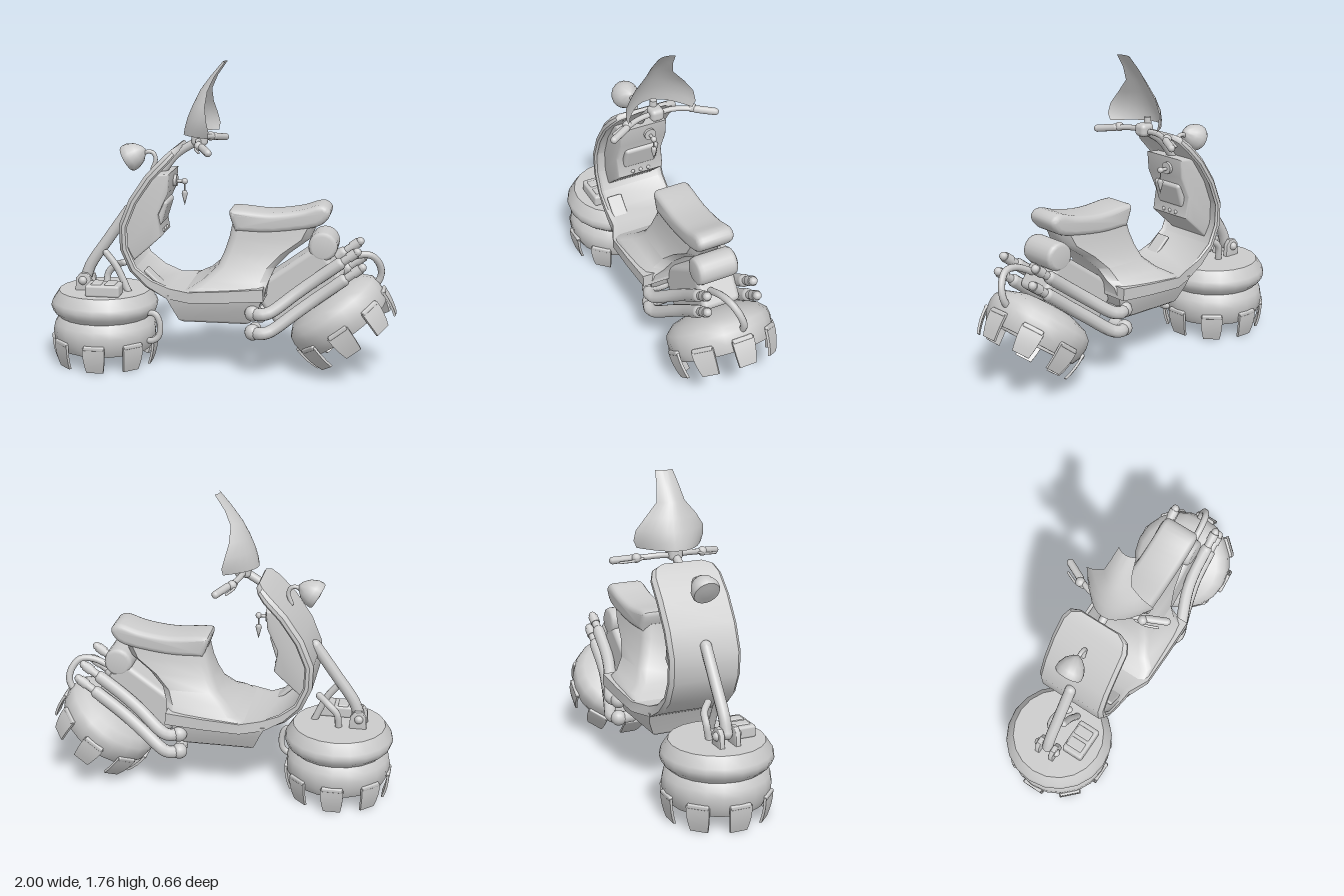
import * as THREE from 'three';
import { toCreasedNormals, mergeGeometries } from 'three/addons/utils/BufferGeometryUtils.js';
import { RoundedBoxGeometry } from 'three/addons/geometries/RoundedBoxGeometry.js';

const grey = new THREE.MeshStandardMaterial({ color: 0xcccccc });
const greyDouble = new THREE.MeshStandardMaterial({ color: 0xcccccc, side: THREE.DoubleSide });
const V = (x, y, z) => new THREE.Vector3(x, y, z);

function add(parent, name, geometry, x = 0, y = 0, z = 0, material = grey) {
  const mesh = new THREE.Mesh(geometry, material);
  mesh.name = name;
  mesh.position.set(x, y, z);
  parent.add(mesh);
  return mesh;
}

// Skin over cross-sections; closed loops get end caps and outward faces
function loft(rows, closed = true, crease = 0.7) {
  const n = rows[0].length, pts = rows.flat(), idx = [];
  const span = closed ? n : n - 1;
  for (let i = 0; i < rows.length - 1; i++) for (let j = 0; j < span; j++) {
    const a = i * n + j, b = i * n + (j + 1) % n;
    idx.push(a, b, b + n, a, b + n, a + n);
  }
  if (closed) {
    const last = (rows.length - 1) * n;
    // Caps joined as strips across the loop
    for (let j = 0; j < n / 2 - 1; j++) {
      const a = j, b = j + 1, c = n - 2 - j, d = n - 1 - j;
      idx.push(a, c, b, a, d, c, last + a, last + b, last + c, last + a, last + c, last + d);
    }
    let volume = 0;
    for (let k = 0; k < idx.length; k += 3) {
      volume += pts[idx[k]].dot(V(0, 0, 0).crossVectors(pts[idx[k + 1]], pts[idx[k + 2]]));
    }
    if (volume < 0) idx.reverse();
  }
  const geometry = new THREE.BufferGeometry().setFromPoints(pts);
  geometry.setIndex(idx);
  return toCreasedNormals(geometry, crease);
}

// Round tube with rounded ends
function tube(parent, name, pts, r, segments = 24) {
  const list = pts.map(p => V(...p));
  const curve = new THREE.CatmullRomCurve3(list, false, 'centripetal');
  const ends = [list[0], list.at(-1)].map(p => new THREE.SphereGeometry(r, 10, 8).translate(p.x, p.y, p.z));
  return add(parent, name, mergeGeometries([new THREE.TubeGeometry(curve, segments, r, 10), ...ends]));
}

function sideExtrude(pts, half, bevel, curved = false) {
  const shape = new THREE.Shape();
  if (curved) shape.setFromPoints(new THREE.SplineCurve([...pts, pts[0]].map(p => new THREE.Vector2(...p))).getPoints(40).slice(0, -1));
  else shape.setFromPoints(pts.map(p => new THREE.Vector2(...p)));
  const depth = 2 * (half - bevel);
  const g = new THREE.ExtrudeGeometry(shape, { depth, bevelSize: bevel, bevelOffset: -bevel, bevelThickness: bevel, bevelSegments: 3 });
  return toCreasedNormals(g.translate(0, 0, -depth / 2), 0.7);
}

// Hover pod: hollow drum with eight hanging pads
function hoverPod(name, upper) {
  const pod = new THREE.Group();
  pod.name = name;
  const profile = [[0, 0.07], [0.13, 0.06], [0.22, 0.0], [0.245, -0.09], [0.268, -0.09], [0.295, -0.04],
    [0.3, 0.02], [0.292, 0.06], ...upper].map(p => new THREE.Vector2(...p));
  add(pod, name + 'Drum', toCreasedNormals(new THREE.LatheGeometry(profile, 20), 0.75), 0, 0, 0, greyDouble);
  for (let i = 0; i < 8; i++) {
    const arm = new THREE.Group();
    arm.name = 'padMount';
    arm.rotation.y = i * Math.PI / 4;
    const pad = new THREE.BoxGeometry(0.13, 0.15, 0.014, 1, 4, 1);
    const p = pad.attributes.position;
    for (let k = 0; k < p.count; k++) {
      const t = 0.5 - p.getY(k) / 0.15;
      p.setX(k, p.getX(k) * (1 - 0.25 * t * t));
      p.setZ(k, p.getZ(k) - 0.028 * t * t);
    }
    add(arm, 'hoverPad', toCreasedNormals(pad, 0.5), 0, -0.105, 0.296);
    add(arm, 'padClip', new RoundedBoxGeometry(0.12, 0.025, 0.035, 2, 0.008), 0, -0.03, 0.289);
    pod.add(arm);
  }
  return pod;
}

export function createModel() {
  const model = new THREE.Group();
  model.name = 'hoverScooter';
  const g = new THREE.Group();
  g.name = 'scooter';
  g.position.z = 0.015;
  model.add(g);

  // Front and rear hover pods
  const front = hoverPod('frontPod', [[0.265, 0.098], [0.3, 0.13], [0.312, 0.165], [0.305, 0.19], [0.265, 0.25], [0, 0.25]]);
  front.position.set(-0.69, 0.18, -0.003);
  const rear = hoverPod('rearPod', [[0.25, 0.1], [0.15, 0.135], [0, 0.15]]);
  rear.position.set(0.67, 0.33, -0.003);
  rear.rotation.z = 0.65;
  g.add(front, rear);

  // Leg shield sweeping into a flat foot board: x, y, half width, thickness, rim
  const spine = [[-0.235, 1.295, 0.13, 0.03, 1], [-0.26, 1.28, 0.185, 0.04, 1], [-0.305, 1.24, 0.208, 0.05, 1], [-0.4, 1.14, 0.212, 0.05, 1],
    [-0.495, 1.0, 0.212, 0.05, 1], [-0.555, 0.85, 0.212, 0.05, 1], [-0.55, 0.71, 0.212, 0.05, 1], [-0.495, 0.585, 0.212, 0.05, 1],
    [-0.4, 0.495, 0.212, 0.06, 0.6], [-0.28, 0.44, 0.215, 0.06, 0], [-0.15, 0.435, 0.27, 0.06, 0], [0.06, 0.445, 0.275, 0.065, 0], [0.275, 0.46, 0.275, 0.07, 0]];
  const ring = [[-1, 0.8], [-1, 0.4], [-0.9, 0], [0.9, 0], [1, 0.4], [1, 0.8], [0.95, 1], [0.85, 0.7], [-0.85, 0.7], [-0.95, 1]];
  add(g, 'legShieldAndFloor', loft(spine.map(([x, y, w, t, rim], i) => {
    const a = spine[Math.max(i - 1, 0)], b = spine[Math.min(i + 1, spine.length - 1)];
    const d = Math.hypot(b[0] - a[0], b[1] - a[1]);
    const nx = -(b[1] - a[1]) / d, ny = (b[0] - a[0]) / d;
    return ring.map(([u, v]) => {
      const lift = t * (v > 0.5 ? 1 + (v - 1) * rim : v * rim);
      return V(x + nx * lift, y + ny * lift, u * w);
    });
  })));

  // Inner storage panel with lid, buttons and foot pad
  add(g, 'innerPanel', sideExtrude([[-0.38, 1.13], [-0.275, 1.14], [-0.285, 1.03], [-0.345, 0.9], [-0.325, 0.78],
    [-0.39, 0.72], [-0.48, 0.64], [-0.53, 0.72], [-0.53, 0.85], [-0.47, 1.0]], 0.145, 0.012));
  const lid = add(g, 'storageLid', new RoundedBoxGeometry(0.05, 0.15, 0.21, 3, 0.02), -0.335, 0.91, 0);
  lid.rotation.z = -0.3;
  for (let i = 0; i < 3; i++) add(g, 'panelButton', new THREE.SphereGeometry(0.012, 10, 8), -0.33, 0.8, -0.05 + i * 0.05);
  const pedal = add(g, 'footPad', new RoundedBoxGeometry(0.17, 0.02, 0.09, 2, 0.008), -0.35, 0.535, 0.14);
  pedal.rotation.z = -0.75;

  // Belly under the floor
  add(g, 'belly', loft([[0.46, -0.29, 0.26, 0.22], [0.4, -0.26, 0.24, 0.21], [0.31, -0.22, 0.19, 0.17], [0.295, -0.2, 0.16, 0.15]].map(
    ([y, a, b, w]) => [V(a, y, -w), V(b, y, -w), V(b, y, w), V(a, y, w)]), true, 0.3));

  // Seat pedestal flaring down into the floor: y, front x, rear x, half width
  add(g, 'seatPedestal', loft([[0.48, -0.2, 0.275, 0.265], [0.52, -0.13, 0.28, 0.25], [0.55, -0.08, 0.29, 0.2], [0.62, -0.005, 0.32, 0.155],
    [0.7, 0.03, 0.4, 0.125], [0.78, 0.055, 0.51, 0.105], [0.86, 0.07, 0.55, 0.095]].map(([y, a, b, w]) => {
    const c = 0.045;
    return [V(a, y, w - c), V(a, y, c - w), V(a + c * 0.4, y, c * 0.3 - w), V(a + c, y, -w), V(b - c, y, -w), V(b, y, c - w),
      V(b, y, w - c), V(b - c, y, w), V(a + c, y, w), V(a + c * 0.4, y, w - c * 0.3)];
  }), true, 0.8));

  // Seat cushion
  add(g, 'seat', sideExtrude([[0.09, 0.815], [0.055, 0.92], [0.1, 0.938], [0.28, 0.925], [0.45, 0.945], [0.57, 0.98],
    [0.622, 0.95], [0.61, 0.9], [0.55, 0.855], [0.4, 0.825], [0.25, 0.81]], 0.11, 0.03, true));

  // Rear tank and motor block
  const tankProfile = [[0, -0.12], [0.06, -0.12], [0.077, -0.11], [0.082, -0.09], [0.082, 0.09], [0.077, 0.11], [0.06, 0.12], [0, 0.12]];
  const tank = add(g, 'rearTank', new THREE.LatheGeometry(tankProfile.map(p => new THREE.Vector2(...p)), 20), 0.585, 0.745, 0);
  tank.rotation.x = Math.PI / 2;
  const motor = add(g, 'motorBlock', new RoundedBoxGeometry(0.47, 0.25, 0.23, 3, 0.03), 0.445, 0.52, 0);
  motor.rotation.z = 0.62;

  // Paired exhaust pipes on both sides, with collars and tips
  for (const s of [-1, 1]) {
    [[0.375, 0.77, 0.725, 0.14], [0.265, 0.8, 0.64, 0.152]].forEach(([y, ex, ey, ez]) => {
      const along = (t, z) => [0.32 + (ex - 0.32) * t, y + 0.02 + (ey - y - 0.02) * t, z * s];
      tube(g, 'exhaustPipe', [[0.21, y, 0.12 * s], [0.21, y, 0.195 * s], [0.25, y, 0.23 * s], [0.285, y + 0.005, 0.228 * s],
        along(0, 0.215), along(0.28, ez + 0.025), along(0.5, ez + 0.005), along(0.8, ez)], 0.036, 40);
      tube(g, 'exhaustTip', [along(0.76, ez), along(1.02, ez)], 0.024, 2);
      const collar = add(g, 'exhaustCollar', new THREE.CylinderGeometry(0.029, 0.029, 0.05, 14), ...along(0.96, ez));
      collar.rotation.z = 0.63 - Math.PI / 2;
      add(g, 'exhaustElbow', new THREE.SphereGeometry(0.046, 14, 10), 0.207, y, 0.205 * s);
    });
  }
  tube(g, 'rearHose', [[0.62, 0.62, 0.05], [0.77, 0.69, 0.045], [0.85, 0.69, 0.03], [0.9, 0.63, 0], [0.905, 0.56, -0.02], [0.86, 0.48, -0.02]], 0.02);
  tube(g, 'frontHose', [[-0.42, 0.32, 0.09], [-0.37, 0.315, 0.1], [-0.345, 0.265, 0.1], [-0.35, 0.19, 0.1], [-0.38, 0.16, 0.1], [-0.43, 0.155, 0.09]], 0.018);

  // Fork, brackets and braces above the front pod
  tube(g, 'fork', [[-0.8, 0.49, 0], [-0.77, 0.57, 0], [-0.66, 0.73, 0], [-0.54, 0.9, 0]], 0.033);
  for (const s of [-1, 1]) {
    add(g, 'forkBracket', sideExtrude([[-0.85, 0.42], [-0.75, 0.42], [-0.755, 0.5], [-0.78, 0.53], [-0.82, 0.53], [-0.845, 0.5]], 0.015, 0.004), 0, 0, s * 0.047);
    add(g, 'forkBolt', new THREE.SphereGeometry(0.026, 12, 8), -0.805, 0.487, s * 0.058);
  }
  tube(g, 'rearBrace', [[-0.67, 0.65, 0.03], [-0.61, 0.57, 0.03], [-0.54, 0.42, 0.03]], 0.02);
  tube(g, 'crossBrace', [[-0.69, 0.43, -0.05], [-0.68, 0.51, -0.06], [-0.63, 0.56, -0.05], [-0.57, 0.59, 0]], 0.02);
  add(g, 'controlBox', new RoundedBoxGeometry(0.2, 0.07, 0.13, 2, 0.015), -0.66, 0.46, 0.135);
  for (const x of [-0.7, -0.62]) add(g, 'controlBoxCap', new RoundedBoxGeometry(0.06, 0.03, 0.1, 2, 0.008), x, 0.487, 0.13);

  // Headlight tilted forward and down on a curved stem
  const lampProfile = [[0, -0.008], [0.04, -0.003], [0.074, 0.0], [0.08, 0.012], [0.078, 0.04], [0.06, 0.08], [0.03, 0.11], [0, 0.125]];
  const lamp = add(g, 'headlight', toCreasedNormals(new THREE.LatheGeometry(lampProfile.map(p => new THREE.Vector2(...p)), 18), 0.8), -0.548, 1.195, 0);
  lamp.rotation.z = -1.05;
  tube(g, 'headlightStem', [[-0.46, 1.215, 0], [-0.43, 1.24, 0], [-0.395, 1.235, 0], [-0.38, 1.2, 0], [-0.4, 1.14, 0]], 0.012);

  // Steering column and handlebars
  tube(g, 'steeringColumn', [[-0.34, 1.13, 0], [-0.26, 1.23, 0], [-0.13, 1.315, 0]], 0.024);
  add(g, 'steeringHub', new RoundedBoxGeometry(0.09, 0.075, 0.08, 3, 0.025), -0.125, 1.32, 0);
  add(g, 'windscreenMount', new THREE.CylinderGeometry(0.02, 0.024, 0.07, 10), -0.15, 1.355, 0);
  const bars = new THREE.Group();
  bars.name = 'handlebars';
  bars.position.z = -0.015;
  g.add(bars);
  for (const s of [-1, 1]) {
    tube(bars, 'handlebar', [[-0.13, 1.31, 0], [-0.125, 1.315, 0.08 * s], [-0.11, 1.31, 0.15 * s], [-0.07, 1.3, 0.235 * s], [-0.035, 1.288, 0.31 * s]], 0.016);
    tube(bars, 'grip', [[-0.08, 1.303, 0.215 * s], [-0.03, 1.288, 0.312 * s]], 0.021, 2);
    add(bars, 'leverClamp', new THREE.SphereGeometry(0.027, 12, 8), -0.1, 1.307, 0.2 * s);
    tube(bars, 'brakeLever', [[-0.12, 1.305, 0.17 * s], [-0.115, 1.295, 0.22 * s], [-0.085, 1.285, 0.29 * s]], 0.007, 10);
  }

  // Ignition knob with dangling charm
  tube(g, 'ignitionStem', [[-0.31, 1.07, -0.035], [-0.23, 1.07, -0.035]], 0.01, 2);
  const knob = add(g, 'ignitionKnob', new THREE.CylinderGeometry(0.035, 0.035, 0.025, 16), -0.275, 1.075, -0.035);
  knob.rotation.z = Math.PI / 2;
  add(g, 'keyBall', new THREE.SphereGeometry(0.018, 12, 8), -0.22, 1.07, -0.035);
  add(g, 'charmCord', new THREE.CylinderGeometry(0.004, 0.004, 0.06, 6), -0.22, 1.035, -0.035);
  add(g, 'charm', new THREE.LatheGeometry([[0, -0.045], [0.018, 0.025], [0.012, 0.04], [0, 0.042]].map(p => new THREE.Vector2(...p)), 8), -0.22, 0.975, -0.035);

  // Windscreen bowed around the front: y, centre x, edge x, half width
  const screen = [[1.35, -0.215, -0.045, 0.195], [1.39, -0.208, -0.04, 0.212], [1.45, -0.19, -0.055, 0.205], [1.52, -0.16, -0.07, 0.155],
    [1.6, -0.12, -0.067, 0.085], [1.68, -0.06, -0.03, 0.067], [1.76, 0.008, 0.027, 0.053]];
  add(g, 'windscreen', loft(screen.map(([y, c, e, w]) => Array.from({ length: 13 }, (_, i) => {
    const u = i / 6 - 1;
    return V(c + (e - c) * u * u, y, u * w);
  })), false, 1), 0, 0, 0.005, greyDouble);

  return model;
}
